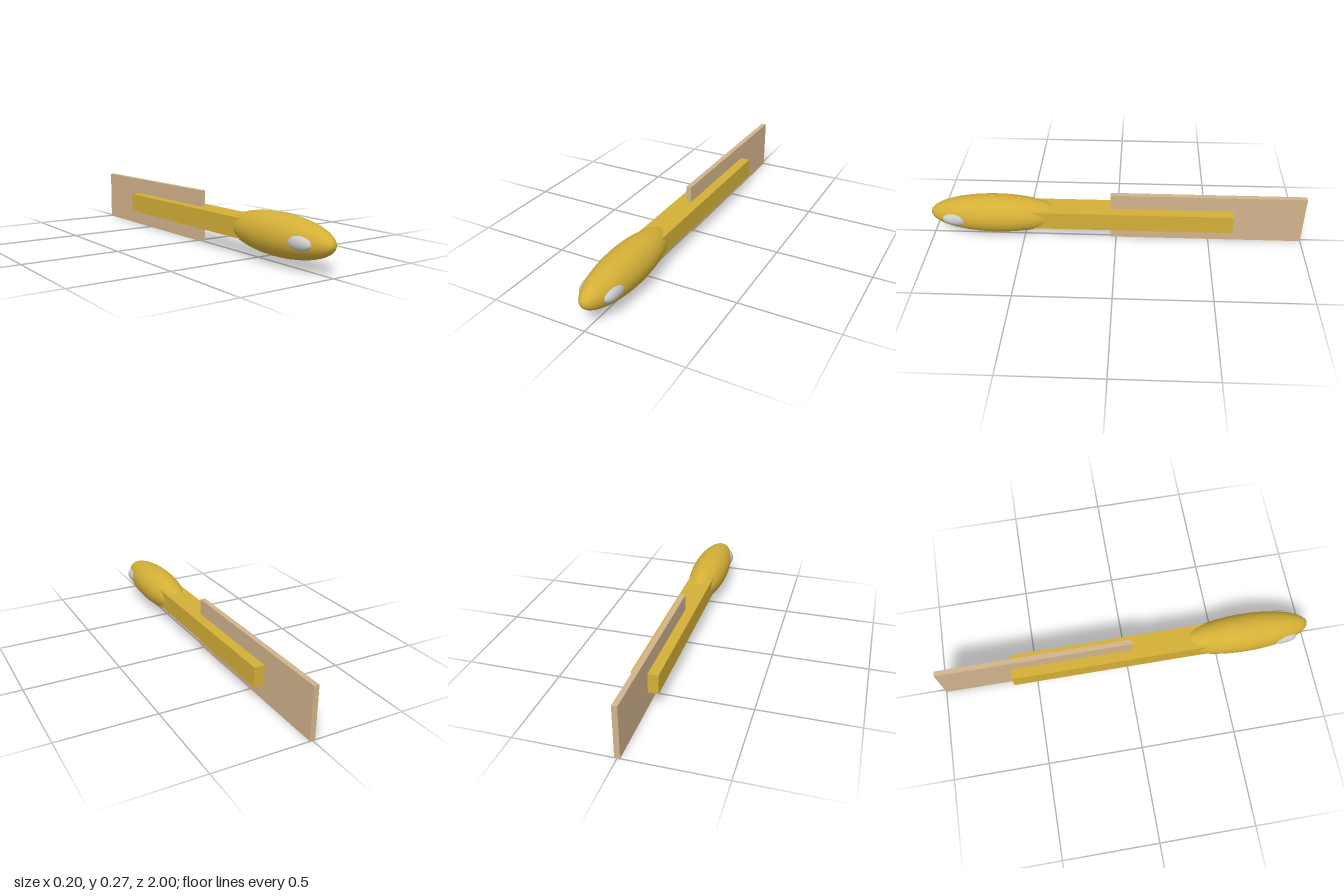
import * as THREE from 'three';

export function createModel() {
  const model = new THREE.Group();
  const gold = new THREE.MeshStandardMaterial({ color: 0xd4af37 });
  const tan = new THREE.MeshStandardMaterial({ color: 0xd2b48c });
  const grey = new THREE.MeshStandardMaterial({ color: 0xcccccc });
  const midY = 0.137;

  const add = (name, geometry, material, x, y, z) => {
    const mesh = new THREE.Mesh(geometry, material);
    mesh.name = name;
    mesh.position.set(x, y, z);
    model.add(mesh);
  };
  // Smooth ellipsoid with its poles on the z axis
  const ellipsoid = (rx, ry, rz) =>
    new THREE.SphereGeometry(1, 48, 32).rotateX(Math.PI / 2).scale(rx, ry, rz);

  // Long rounded head
  add('head', ellipsoid(0.102, 0.104, 0.353), gold, 0, midY, 0.647);

  // Eyes, half sunk into the sides of the head
  for (const [name, side] of [['leftEye', 1], ['rightEye', -1]]) {
    add(name, ellipsoid(0.031, 0.037, 0.08), grey, side * 0.063, midY, 0.845);
  }

  // Square-section body, running into the head
  add('body', new THREE.BoxGeometry(0.134, 0.102, 1.12), gold, 0, midY, -0.06);

  // Thin upright tail fin
  add('tailFin', new THREE.BoxGeometry(0.027, 0.274, 1.03), tan, 0, midY, -0.485);

  return model;
}
